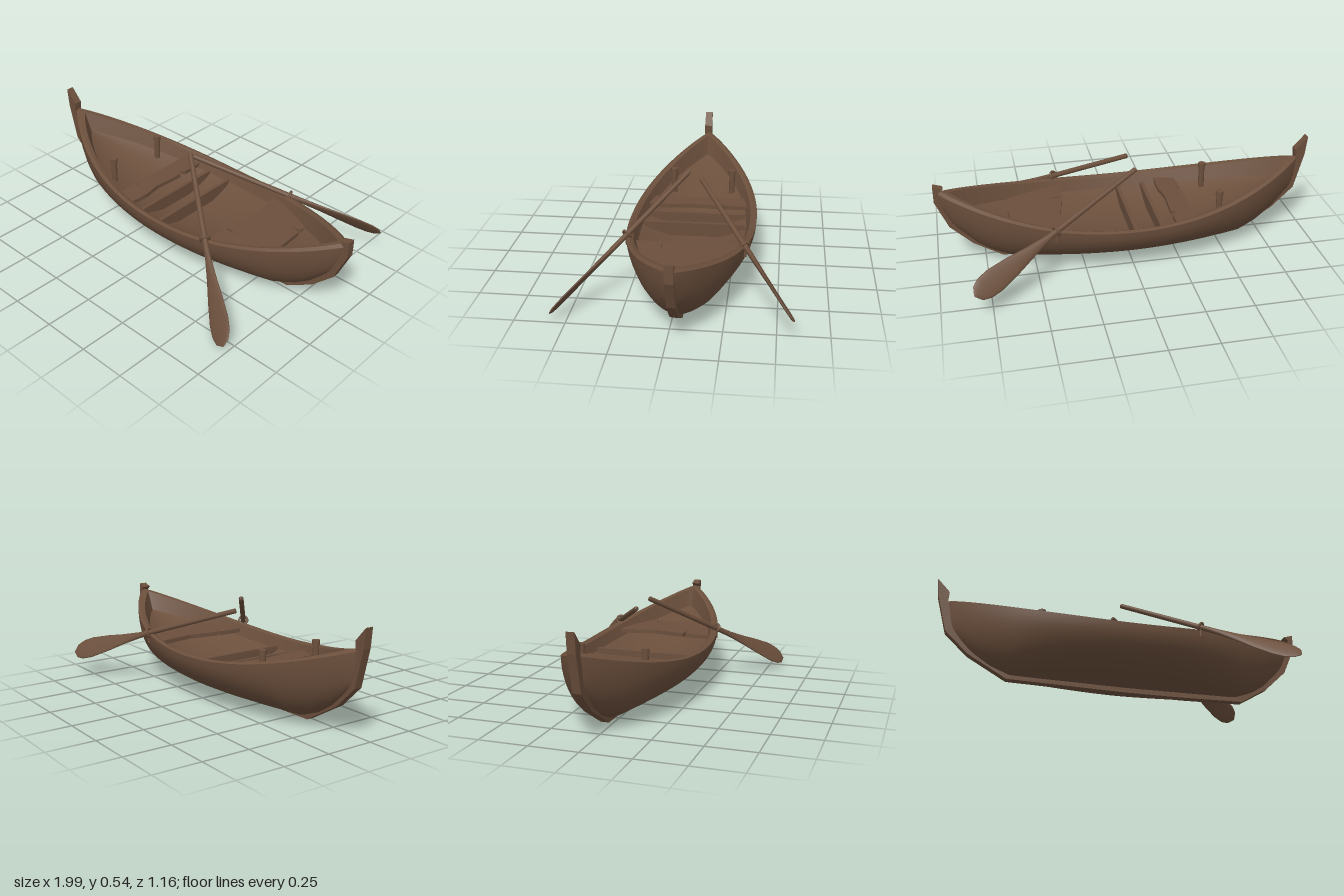
import * as THREE from 'three';
import { mergeVertices } from 'three/addons/utils/BufferGeometryUtils.js';

const wood = new THREE.MeshStandardMaterial({ color: 0x6b4f3c, side: THREE.DoubleSide });
wood.name = 'brown wood';

const MID_X = 0.0125, HALF_L = 0.9675, MID_Z = -0.037;

// Smooth sheet from f(u, v) -> [x, y, z], with u and v from 0 to 1
function sheet(f, nu, nv) {
  const pos = [], idx = [];
  for (let i = 0; i <= nu; i++)
    for (let j = 0; j <= nv; j++) pos.push(...f(i / nu, j / nv));
  for (let i = 0; i < nu; i++)
    for (let j = 0; j < nv; j++) {
      const a = i * (nv + 1) + j, b = a + nv + 1;
      idx.push(a, b, a + 1, b, b + 1, a + 1);
    }
  let g = new THREE.BufferGeometry();
  g.setAttribute('position', new THREE.Float32BufferAttribute(pos, 3));
  g.setIndex(idx);
  g = mergeVertices(g, 1e-5);
  g.computeVertexNormals();
  return g;
}

// Hull lines: half width, top edge and bottom edge along the boat
const station = (u) => Math.sin((u - 0.5) * Math.PI);
const halfWidth = (s) => 0.335 * Math.pow(Math.max(0, 1 - Math.pow(Math.abs(s), 2.2)), 0.9);
const sheer = (s) => 0.255 + (s < 0 ? 0.17 : 0.155) * s * s;
const BOTTOM = [[-0.955, 0.425], [-0.945, 0.33], [-0.92, 0.25], [-0.8, 0.135], [-0.7, 0.07], [-0.6, 0.032],
  [0, 0.025], [0.62, 0.03], [0.72, 0.065], [0.79, 0.11], [0.9, 0.215], [0.955, 0.32], [0.98, 0.41]];
function bottom(x) {
  let i = 0;
  while (i < BOTTOM.length - 2 && x > BOTTOM[i + 1][0]) i++;
  const [x0, y0] = BOTTOM[i], [x1, y1] = BOTTOM[i + 1];
  return THREE.MathUtils.lerp(y0, y1, THREE.MathUtils.clamp((x - x0) / (x1 - x0), 0, 1));
}

function add(parent, name, geometry) {
  const mesh = new THREE.Mesh(geometry, wood);
  mesh.name = name;
  parent.add(mesh);
  return mesh;
}

function buildHull() {
  const hull = new THREE.Group();
  hull.name = 'hull';
  // Outer shell with elliptical sections
  add(hull, 'outerShell', sheet((u, v) => {
    const s = station(u), x = MID_X + HALF_L * s, t = (v - 0.5) * Math.PI;
    const k = bottom(x);
    return [x, k + (sheer(s) - k) * (1 - Math.cos(t)), MID_Z - halfWidth(s) * Math.sin(t)];
  }, 64, 28));

  // Nested outlines: gunwale edge, inner lip, floor edge
  const ring = (kx, kz, drop) => (u, side) => {
    const s = station(u);
    return [MID_X + HALF_L * s * kx, sheer(s) - drop(s), MID_Z + side * halfWidth(s) * kz];
  };
  const edge = ring(1, 1, () => 0);
  const crown = ring(0.97, 0.95, () => -0.006);
  const lip = ring(0.93, 0.895, () => 0.004);
  const floorEdge = ring(0.88, 0.83, (s) => 0.06 + 0.05 * s * s);
  const between = (a, b, side) => (u, v) => {
    const p = a(u, side), q = b(u, side), w = side > 0 ? 1 - v : v;
    return p.map((c, i) => THREE.MathUtils.lerp(q[i], c, w));
  };
  for (const side of [-1, 1]) {
    add(hull, 'gunwaleOuter', sheet(between(edge, crown, side), 64, 1));
    add(hull, 'gunwaleTop', sheet(between(crown, lip, side), 64, 1));
    add(hull, 'innerWall', sheet(between(lip, floorEdge, side), 64, 2));
  }
  // Shallow dished floor
  add(hull, 'floor', sheet((u, v) => {
    const t = 1 - 2 * v, s = station(u), p = floorEdge(u, -t);
    p[1] -= 0.07 * (1 - s * s) * (1 - t * t);
    return p;
  }, 64, 16));
  return hull;
}

// Flat outline extruded by depth
function slab(points, depth) {
  const shape = new THREE.Shape(points.map(([a, b]) => new THREE.Vector2(a, b)));
  return new THREE.ExtrudeGeometry(shape, { depth, bevelEnabled: false });
}

// Horizontal board from an outline in x and z
function board(parent, name, points, top, thick) {
  const g = slab(points.map(([x, z]) => [x, -z]), thick);
  g.rotateX(-Math.PI / 2);
  g.translate(0, top - thick, 0);
  add(parent, name, g);
}

// Oar lofted from handle to blade tip; flat gives the blade's width direction
const OAR = [[0, 0.002, 0.002], [0.003, 0.013, 0.013], [0.5, 0.014, 0.014], [0.58, 0.018, 0.013],
  [0.68, 0.032, 0.011], [0.78, 0.05, 0.009], [0.88, 0.062, 0.008], [0.94, 0.058, 0.008],
  [0.98, 0.04, 0.007], [1, 0.004, 0.003]];
function buildOar(name, from, to, flat, lockAt) {
  const oar = new THREE.Group();
  oar.name = name;
  const a = new THREE.Vector3(...from), b = new THREE.Vector3(...to);
  const dir = b.clone().sub(a).normalize();
  const wide = new THREE.Vector3(...flat);
  wide.addScaledVector(dir, -wide.dot(dir)).normalize();
  const thin = new THREE.Vector3().crossVectors(dir, wide);
  const n = OAR.length - 1;
  add(oar, 'oarShaftAndBlade', sheet((u, v) => {
    const [t, w, h] = OAR[Math.round(u * n)], q = -v * 2 * Math.PI;
    return a.clone().lerp(b, t).addScaledVector(wide, w * Math.cos(q))
      .addScaledVector(thin, h * Math.sin(q)).toArray();
  }, n, 16));
  // Ring and pin holding the oar on the gunwale
  const p = a.clone().lerp(b, lockAt);
  const lock = add(oar, 'oarlockRing', new THREE.TorusGeometry(0.023, 0.007, 8, 20));
  lock.position.copy(p);
  lock.quaternion.setFromUnitVectors(new THREE.Vector3(0, 0, 1), dir);
  const pin = add(oar, 'oarlockPin', new THREE.CylinderGeometry(0.008, 0.008, 0.04, 10));
  pin.position.set(p.x, p.y - 0.036, p.z);
  return oar;
}

export function createModel() {
  const boat = new THREE.Group();
  boat.name = 'rowingBoat';
  boat.add(buildHull());

  // Keel with the raised stem and stern posts
  const keel = slab([[-1, 0.54], [-0.99, 0.44], [-0.94, 0.245], [-0.82, 0.13], [-0.615, 0.012], [-0.3, 0.006],
    [0, 0], [0.35, 0.002], [0.66, 0.01], [0.81, 0.1], [0.925, 0.21], [0.99, 0.36], [0.99, 0.445], [0.94, 0.43],
    [0.965, 0.41], [0.95, 0.36], [0.88, 0.235], [0.78, 0.13], [0.63, 0.045], [-0.58, 0.045], [-0.78, 0.15],
    [-0.9, 0.27], [-0.94, 0.42], [-0.935, 0.47]], 0.042);
  keel.translate(0, 0, -0.051);
  add(boat, 'keel', keel);

  // Worn seat boards
  board(boat, 'narrowSeat', [[-0.335, -0.29], [-0.225, -0.31], [-0.222, -0.19], [-0.245, -0.17], [-0.222, -0.15],
    [-0.232, 0.02], [-0.215, 0.12], [-0.22, 0.235], [-0.335, 0.225], [-0.335, 0.1], [-0.31, 0.09],
    [-0.335, 0.08]], 0.232, 0.022);
  board(boat, 'wideSeat', [[0.32, -0.3], [0.46, -0.27], [0.61, -0.225], [0.612, -0.165], [0.55, -0.155],
    [0.612, -0.145], [0.62, 0.0], [0.605, 0.13], [0.46, 0.185], [0.32, 0.225], [0.325, 0.09], [0.4, 0.085],
    [0.325, 0.075], [0.355, -0.1]], 0.25, 0.022);

  // Cross ribs
  for (const x of [-0.15, -0.01]) {
    const rib = add(boat, 'rib', new THREE.BoxGeometry(0.02, 0.075, 0.54));
    rib.position.set(x, 0.178, -0.037);
  }

  // Mooring posts with a collar
  for (const z of [-0.21, 0.125]) {
    const post = add(boat, 'post', new THREE.CylinderGeometry(0.016, 0.016, 0.19, 14));
    post.position.set(-0.467, 0.255, z);
    const cap = add(boat, 'postCap', new THREE.CylinderGeometry(0.02, 0.02, 0.025, 14));
    cap.position.set(-0.467, 0.342, z);
  }

  boat.add(buildOar('leftSideOar', [-0.05, 0.455, -0.07], [0.835, 0.125, -0.575], [0.44, 0.71, 0.36], 0.515));
  boat.add(buildOar('rightSideOar', [-0.015, 0.507, -0.01], [0.745, 0.045, 0.575], [0.6, 0.65, -0.27], 0.47));
  return boat;
}
